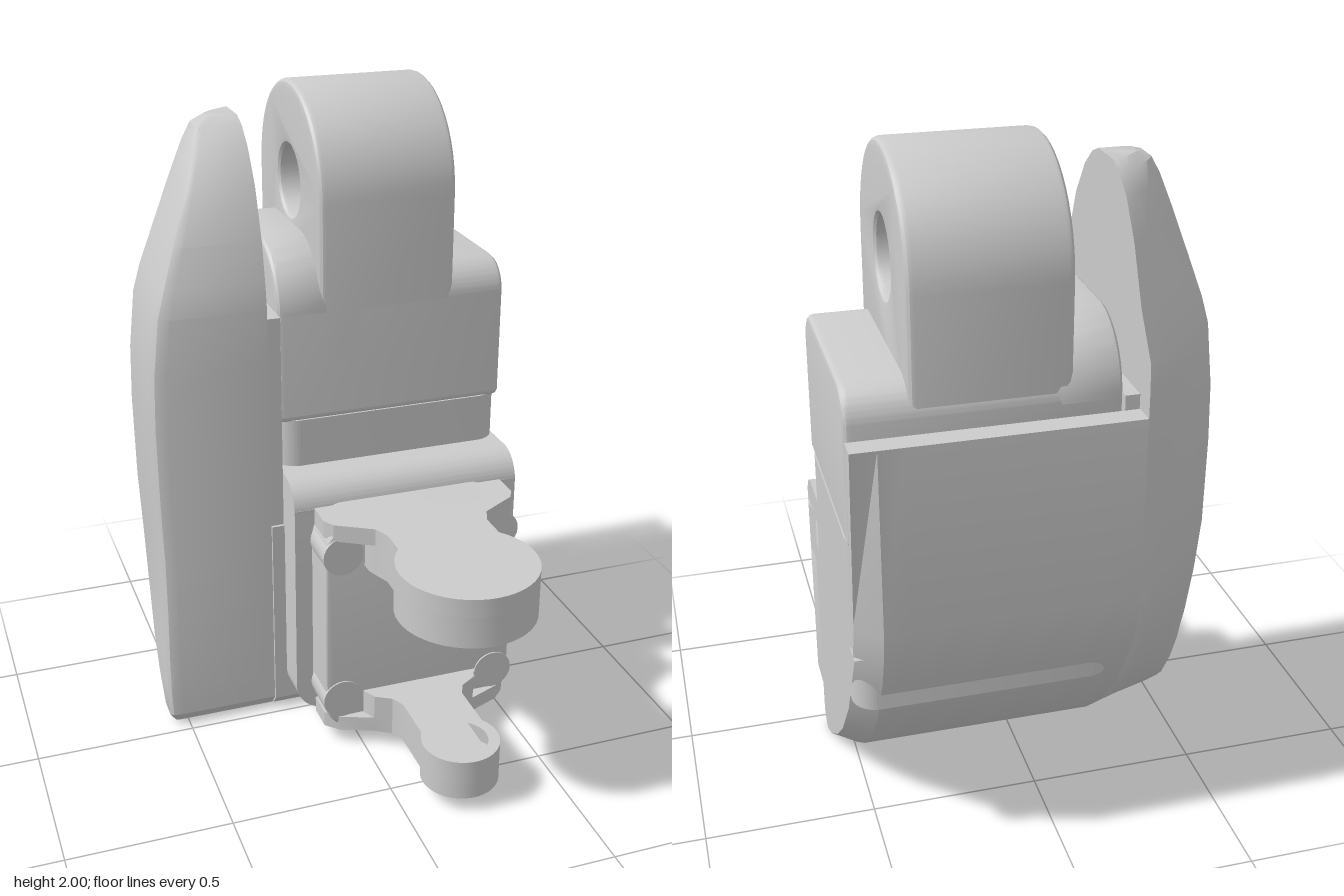
import * as THREE from 'three';
import { toCreasedNormals } from 'three/addons/utils/BufferGeometryUtils.js';

const material = new THREE.MeshStandardMaterial({ color: 0xcccccc });

// Rectangle with separate bottom and top corner radii
function roundRect(x0, y0, x1, y1, rb, rt) {
  const s = new THREE.Shape();
  s.moveTo(x0 + rb, y0);
  s.lineTo(x1 - rb, y0);
  s.absarc(x1 - rb, y0 + rb, rb, -Math.PI / 2, 0);
  s.absarc(x1 - rt, y1 - rt, rt, 0, Math.PI / 2);
  s.absarc(x0 + rt, y1 - rt, rt, Math.PI / 2, Math.PI);
  s.absarc(x0 + rb, y0 + rb, rb, Math.PI, Math.PI * 1.5);
  return s;
}

function circleHole(x, y, r) {
  return new THREE.Path().absarc(x, y, r, 0, Math.PI * 2, true);
}

// Extrude from a to b along an axis; 'x' uses (-z, y) shapes, 'y' uses (x, -z)
function extrude(shape, axis, a, b, bevel = 0, steps = 1) {
  const g = new THREE.ExtrudeGeometry(shape, {
    depth: b - a - 2 * bevel, steps, curveSegments: 12, bevelEnabled: bevel > 0,
    bevelSize: bevel, bevelThickness: bevel, bevelOffset: -bevel, bevelSegments: 3,
  });
  g.translate(0, 0, a + bevel);
  if (axis === 'x') g.rotateY(Math.PI / 2);
  if (axis === 'y') g.rotateX(-Math.PI / 2);
  return g;
}

// Curved side shell: sections [y, outer x, front z, back z]
function shellGeometry() {
  const inner = -0.21;
  const sections = [
    [0, -0.54, -0.06, -0.1], [0.04, -0.562, -0.03, -0.22], [0.14, -0.565, -0.03, -0.36],
    [0.25, -0.565, -0.03, -0.48], [0.42, -0.562, -0.03, -0.62], [0.6, -0.562, -0.03, -0.72],
    [0.78, -0.567, -0.03, -0.77], [1.05, -0.57, -0.03, -0.77], [1.22, -0.565, -0.03, -0.77],
    [1.4, -0.545, -0.03, -0.77], [1.48, -0.52, -0.043, -0.765], [1.6, -0.48, -0.07, -0.68],
    [1.75, -0.42, -0.13, -0.61], [1.85, -0.375, -0.2, -0.54], [1.9, -0.345, -0.26, -0.48],
    [1.92, -0.3, -0.31, -0.43],
  ];
  // Outline fractions across (outer to inner) and back (front to rear)
  const outline = [[1, 0], [0.12, 0], [0.03, 0.02], [0, 0.07], [0, 0.42],
    [0.06, 0.49], [0.2, 0.6], [0.47, 0.77], [0.75, 0.89], [1, 1]];
  const n = outline.length, pos = [], idx = [];
  for (const [y, xl, zf, zb] of sections)
    for (const [u, v] of outline) pos.push(xl + (inner - xl) * u, y, zf + (zb - zf) * v);
  for (let i = 0; i < sections.length - 1; i++)
    for (let j = 0; j < n; j++) {
      const a = i * n + j, b = i * n + (j + 1) % n;
      idx.push(a, a + n, b, b, a + n, b + n);
    }
  const top = (sections.length - 1) * n;
  for (let j = 1; j < n - 1; j++) {
    idx.push(0, j, j + 1);
    idx.push(top, top + j + 1, top + j);
  }
  const g = new THREE.BufferGeometry();
  g.setAttribute('position', new THREE.Float32BufferAttribute(pos, 3));
  g.setIndex(idx);
  return g;
}

// Lower body and back plate, with the curved rear edge chamfered at the left side
function bodyGeometry() {
  const curve = [[-0.77, 0.78], [-0.755, 0.7], [-0.72, 0.6], [-0.62, 0.42], [-0.48, 0.25],
    [-0.36, 0.14], [-0.22, 0.04], [-0.1, 0]];
  const profile = [[-0.705, 0.68], [-0.705, 1.33], [-0.77, 1.33], ...curve,
    [-0.05, 0.005], [-0.02, 0.04], [-0.02, 0.68]];
  const shape = new THREE.Shape(profile.map(([z, y]) => new THREE.Vector2(-z, y)));
  const g = extrude(shape, 'x', -0.21, 0.57, 0, 11);
  const p = g.attributes.position;
  for (let i = 0; i < p.count; i++) {
    const onCurve = curve.some(([z, y]) =>
      Math.abs(z - p.getZ(i)) < 1e-4 && Math.abs(y - p.getY(i)) < 1e-4);
    if (onCurve && p.getX(i) > 0.56) p.setZ(i, p.getZ(i) + (p.getZ(i) < -0.15 ? 0.065 : 0.03));
  }
  g.computeVertexNormals();
  return g;
}

// Arm outline seen from above: flared root, neck and round end
function armShape(root, neck, radius, limit, hole) {
  const cx = 0.2, cz = 0.56;
  const half = [...root, [neck, 0.34]].map(([d, z]) => [Math.min(d, limit), z]);
  const start = Math.asin(neck / radius);
  const pts = half.map(([d, z]) => new THREE.Vector2(cx + d, -z));
  for (let i = 0; i <= 32; i++) {
    const t = start + (2 * Math.PI - 2 * start) * i / 32;
    pts.push(new THREE.Vector2(cx + radius * Math.sin(t), -cz + radius * Math.cos(t)));
  }
  half.reverse().forEach(([d, z]) => pts.push(new THREE.Vector2(cx - d, -z)));
  const s = new THREE.Shape(pts);
  if (hole) s.holes.push(circleHole(cx, -cz, hole));
  return s;
}

export function createModel() {
  const model = new THREE.Group();
  const add = (name, geometry, parent = model) => {
    const mesh = new THREE.Mesh(toCreasedNormals(geometry, 0.5), material);
    mesh.name = name;
    parent.add(mesh);
    return mesh;
  };

  // Housing
  add('sideShell', shellGeometry());
  add('lowerBodyAndBackPlate', bodyGeometry());
  add('innerWall', new THREE.BoxGeometry(0.04, 0.77, 0.67).translate(-0.19, 0.985, -0.365));

  // Central block: narrower corners below, shoulders above
  add('blockBase', extrude(roundRect(-0.17, 0.06, 0.57, 0.69, 0.07, 0.07), 'y', 0.5, 1.015));
  add('leftShoulder', extrude(roundRect(0.06, 1.01, 0.69, 1.46, 0.02, 0.1), 'x', -0.165, 0.57, 0.02));
  add('rightShoulder', extrude(roundRect(0.06, 1.01, 0.69, 1.565, 0.02, 0.2), 'x', -0.17, 0.02, 0.02));

  // Upright hinge lug with a pin hole
  const lug = new THREE.Shape();
  lug.moveTo(0.06, 1.2);
  lug.lineTo(0.685, 1.2);
  lug.absarc(0.3725, 1.6875, 0.3125, 0, Math.PI);
  lug.closePath();
  lug.holes.push(circleHole(0.3725, 1.69, 0.11));
  add('hingeLug', extrude(lug, 'x', -0.035, 0.4, 0.02));

  // Front step with a rounded top edge
  add('frontStep', extrude(roundRect(-0.17, 0.05, 0.57, 0.78, 0.1, 0.005), 'z', -0.1, 0.09));
  const ledge = new THREE.Shape();
  ledge.moveTo(-0.09, 0.6);
  ledge.lineTo(0.13, 0.6);
  ledge.lineTo(0.13, 0.86);
  ledge.lineTo(0, 0.86);
  ledge.absarc(0, 0.77, 0.09, Math.PI / 2, Math.PI);
  add('stepLedge', extrude(ledge, 'x', -0.17, 0.57));

  // Bracket plate, screws and arms
  const bracket = new THREE.Group();
  bracket.name = 'bracket';
  model.add(bracket);
  add('bracketPlate', extrude(roundRect(-0.115, 0.05, 0.51, 0.79, 0.1, 0.1), 'z', 0.07, 0.225, 0.01), bracket);
  for (const x of [-0.06, 0.455])
    for (const y of [0.165, 0.68])
      add('screwHead', new THREE.CylinderGeometry(0.064, 0.064, 0.13, 24)
        .rotateX(Math.PI / 2).translate(x, y, 0.165), bracket);

  const wideRoot = [[0.31, 0.1], [0.31, 0.19], [0.29, 0.225], [0.23, 0.26], [0.18, 0.29]];
  const slimRoot = [[0.31, 0.1], [0.31, 0.19], [0.27, 0.23], [0.17, 0.27], [0.12, 0.3]];
  add('upperArmTop', extrude(armShape(wideRoot, 0.16, 0.21, 1), 'y', 0.735, 0.79), bracket);
  add('upperArmSocket', extrude(armShape(wideRoot, 0.16, 0.21, 0.19, 0.1), 'y', 0.635, 0.735), bracket);
  add('lowerArmBottom', extrude(armShape(slimRoot, 0.1, 0.12, 1), 'y', 0.05, 0.1), bracket);
  add('lowerArmSocket', extrude(armShape(slimRoot, 0.1, 0.12, 0.19, 0.085), 'y', 0.1, 0.18), bracket);

  return model;
}
